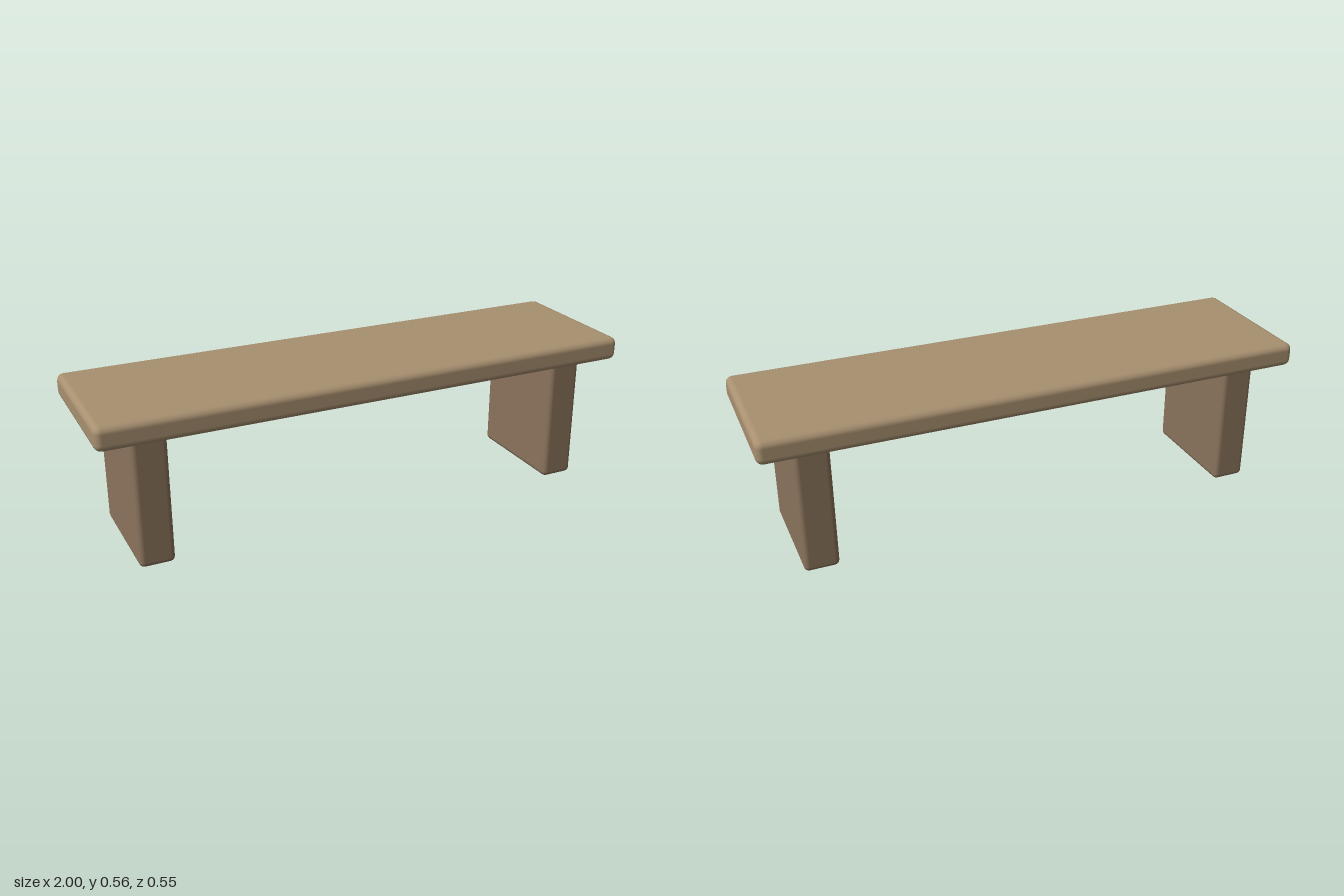
import * as THREE from 'three';
import { RoundedBoxGeometry } from 'three/addons/geometries/RoundedBoxGeometry.js';

const seatMaterial = new THREE.MeshStandardMaterial({ color: 0xa89070 });
const legMaterial = new THREE.MeshStandardMaterial({ color: 0x8b745c });

// Softly rounded block standing on height y
function block(name, material, [w, h, d], radius, x, y) {
  const mesh = new THREE.Mesh(new RoundedBoxGeometry(w, h, d, 2, radius), material);
  mesh.name = name;
  mesh.position.set(x, y + h / 2, 0);
  return mesh;
}

export function createModel() {
  const bench = new THREE.Group();
  bench.name = 'bench';

  // Seat plank
  bench.add(block('seat', seatMaterial, [2, 0.0875, 0.55], 0.025, 0, 0.475));

  // Slab legs, one near each end
  for (const [name, side] of [['leftLeg', 1], ['rightLeg', -1]]) {
    bench.add(block(name, legMaterial, [0.125, 0.475, 0.425], 0.01875, side * 0.8125, 0));
  }
  return bench;
}
